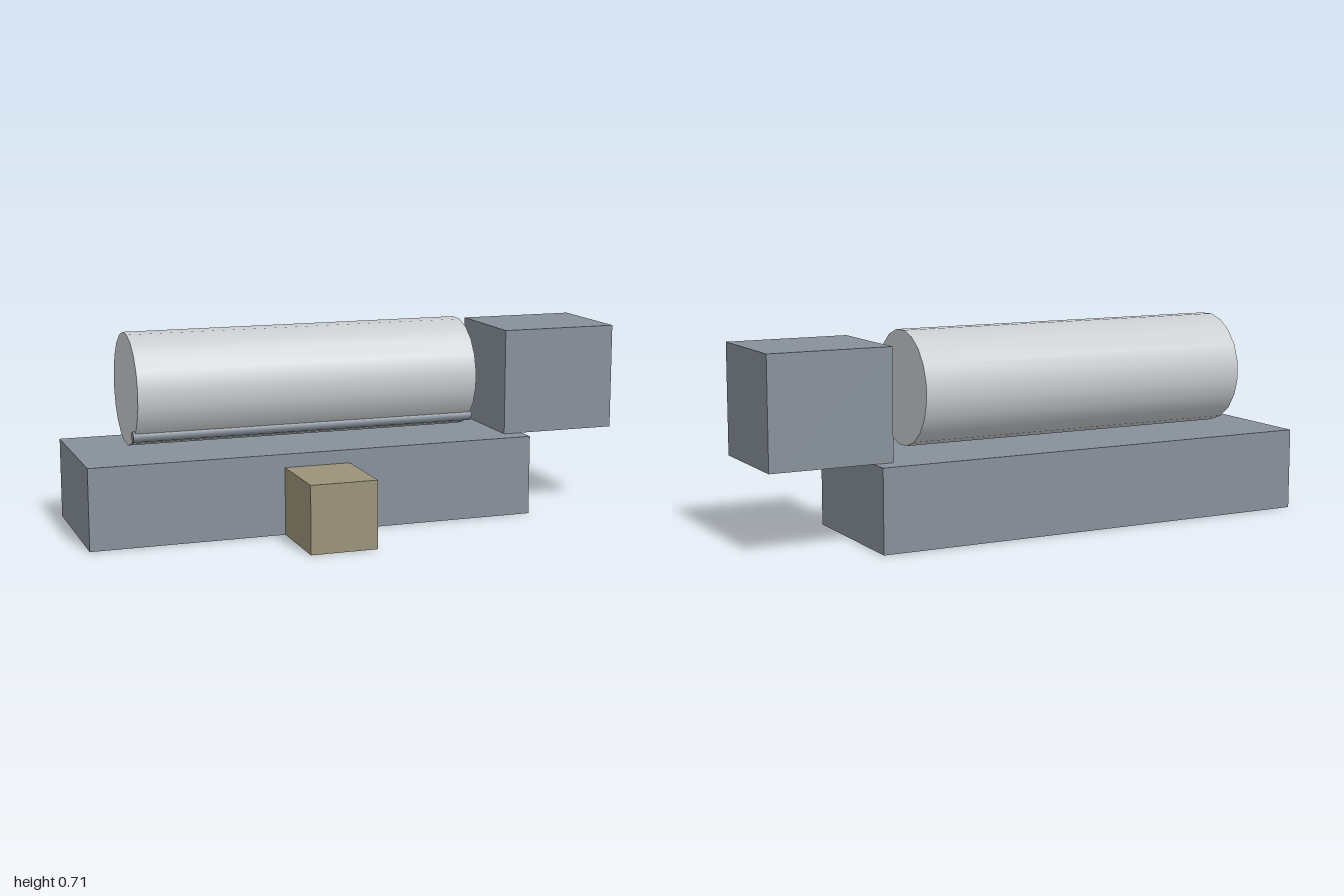
import * as THREE from 'three';

const mat = (name, color) => {
  const m = new THREE.MeshStandardMaterial({ color });
  m.name = name;
  return m;
};

export function createModel() {
  const group = new THREE.Group();
  const slate = mat('slate grey', 0x87909a);
  const silver = mat('light silver', 0xc8cccf);
  const tan = mat('olive tan', 0x9a9278);

  // Box given by its min and max corners
  const box = (name, material, [x0, y0, z0], [x1, y1, z1]) => {
    const mesh = new THREE.Mesh(new THREE.BoxGeometry(x1 - x0, y1 - y0, z1 - z0), material);
    mesh.position.set((x0 + x1) / 2, (y0 + y1) / 2, (z0 + z1) / 2);
    mesh.name = name;
    group.add(mesh);
  };

  // Cylinder lying along x; turn rolls its facets about the axis
  const roll = (name, material, r, x0, x1, y, z, sides, turn) => {
    const geo = new THREE.CylinderGeometry(r, r, x1 - x0, sides);
    geo.rotateZ(Math.PI / 2).rotateX(turn);
    const mesh = new THREE.Mesh(geo, material);
    mesh.position.set((x0 + x1) / 2, y, z);
    mesh.name = name;
    group.add(mesh);
  };

  // Base block, raised end block and front block
  box('base', slate, [-1, 0, -0.41], [0.635, 0.29, 0.12]);
  box('endBlock', slate, [0.565, 0.29, -0.337], [1, 0.675, 0.047]);
  box('frontBlock', tan, [-0.305, 0, 0.12], [-0.065, 0.242, 0.41]);

  // Drum over the base, with a thin rod along its lower front
  roll('drum', silver, 0.2, -0.808, 0.445, 0.508, -0.143, 20, THREE.MathUtils.degToRad(11));
  roll('rod', slate, 0.02, -0.815, 0.45, 0.36, -0.013, 10, 0);

  return group;
}
